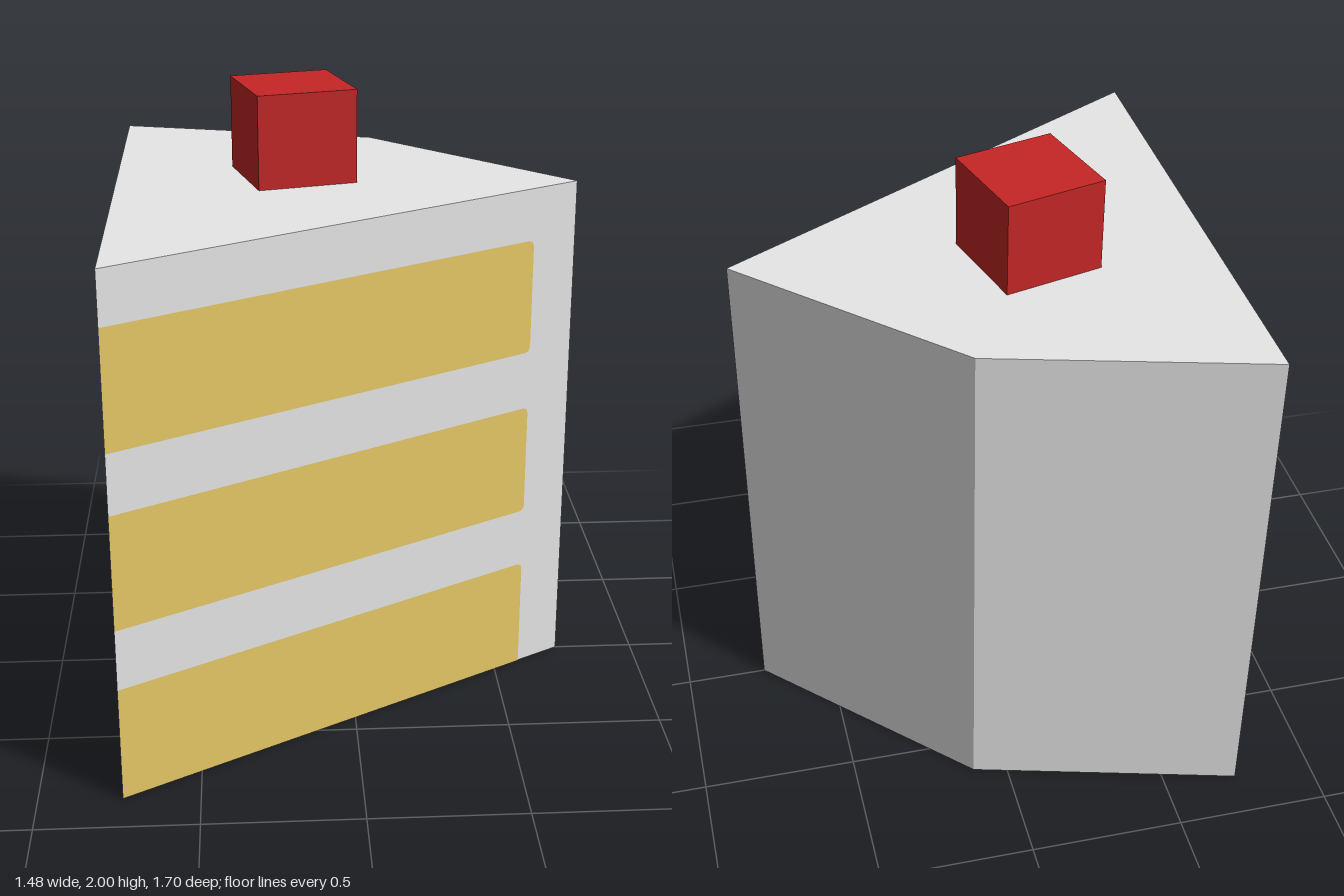
import * as THREE from 'three';

const HEIGHT = 1.7;
// Footprint corners as (x, z)
const BACK = [-0.74, -0.85], RIM = [0.11, -0.625], SIDE = [0.735, 0], FRONT = [-0.74, 0.85];
const LAYERS = [[0, 0.38], [0.58, 0.955], [1.15, 1.53]];

const material = (name, color) => {
  const m = new THREE.MeshStandardMaterial({ color });
  m.name = name;
  return m;
};

// Sponge strip with clipped corners at its free end; flip mirrors it along the wall
function stripGeometry(y0, y1, wallLength, flip) {
  const end = wallLength * 0.9, c = 0.018, low = y0 === 0 ? 0 : c;
  const outline = [
    [0, y0], [end - low, y0], [end - low * 0.3, y0 + low * 0.3], [end, y0 + low],
    [end, y1 - c], [end - c * 0.3, y1 - c * 0.3], [end - c, y1], [0, y1],
  ];
  const points = outline.map(([u, v]) => new THREE.Vector2(flip ? wallLength - u : u, v));
  return new THREE.ShapeGeometry(new THREE.Shape(points));
}

// Group of strips on the wall running from a to b, with its outside facing +z locally
function spongeWall(name, a, b, flip, mat) {
  const wall = new THREE.Group();
  wall.name = name;
  const dx = b[0] - a[0], dz = b[1] - a[1], length = Math.hypot(dx, dz);
  wall.position.set(a[0], 0, a[1]);
  wall.rotation.y = Math.atan2(-dz, dx);
  LAYERS.forEach(([y0, y1], i) => {
    const strip = new THREE.Mesh(stripGeometry(y0, y1, length, flip), mat);
    strip.name = `spongeLayer${i + 1}`;
    strip.position.z = 0.003;
    wall.add(strip);
  });
  return wall;
}

export function createModel() {
  const cake = new THREE.Group();
  cake.name = 'cakeSlice';
  const icing = material('icing white', 0xe8e8e8);
  const sponge = material('sponge yellow', 0xebcd68);
  const red = material('topping red', 0xc72626);

  // Slice body
  const footprint = new THREE.Shape(
    [FRONT, SIDE, RIM, BACK].map(([x, z]) => new THREE.Vector2(x, -z)));
  const bodyGeometry = new THREE.ExtrudeGeometry(footprint, { depth: HEIGHT, bevelEnabled: false });
  bodyGeometry.rotateX(-Math.PI / 2);
  const body = new THREE.Mesh(bodyGeometry, icing);
  body.name = 'icingBody';
  cake.add(body);

  // Cut faces showing the sponge, meeting at the front tip
  cake.add(spongeWall('frontCutFace', FRONT, SIDE, false, sponge));
  cake.add(spongeWall('sideCutFace', BACK, FRONT, true, sponge));

  // Cube topping
  const topping = new THREE.Mesh(new THREE.BoxGeometry(0.325, 0.3, 0.325), red);
  topping.name = 'topping';
  topping.position.set(-0.17, HEIGHT + 0.15, -0.132);
  topping.rotation.y = Math.PI / 12;
  cake.add(topping);

  return cake;
}
